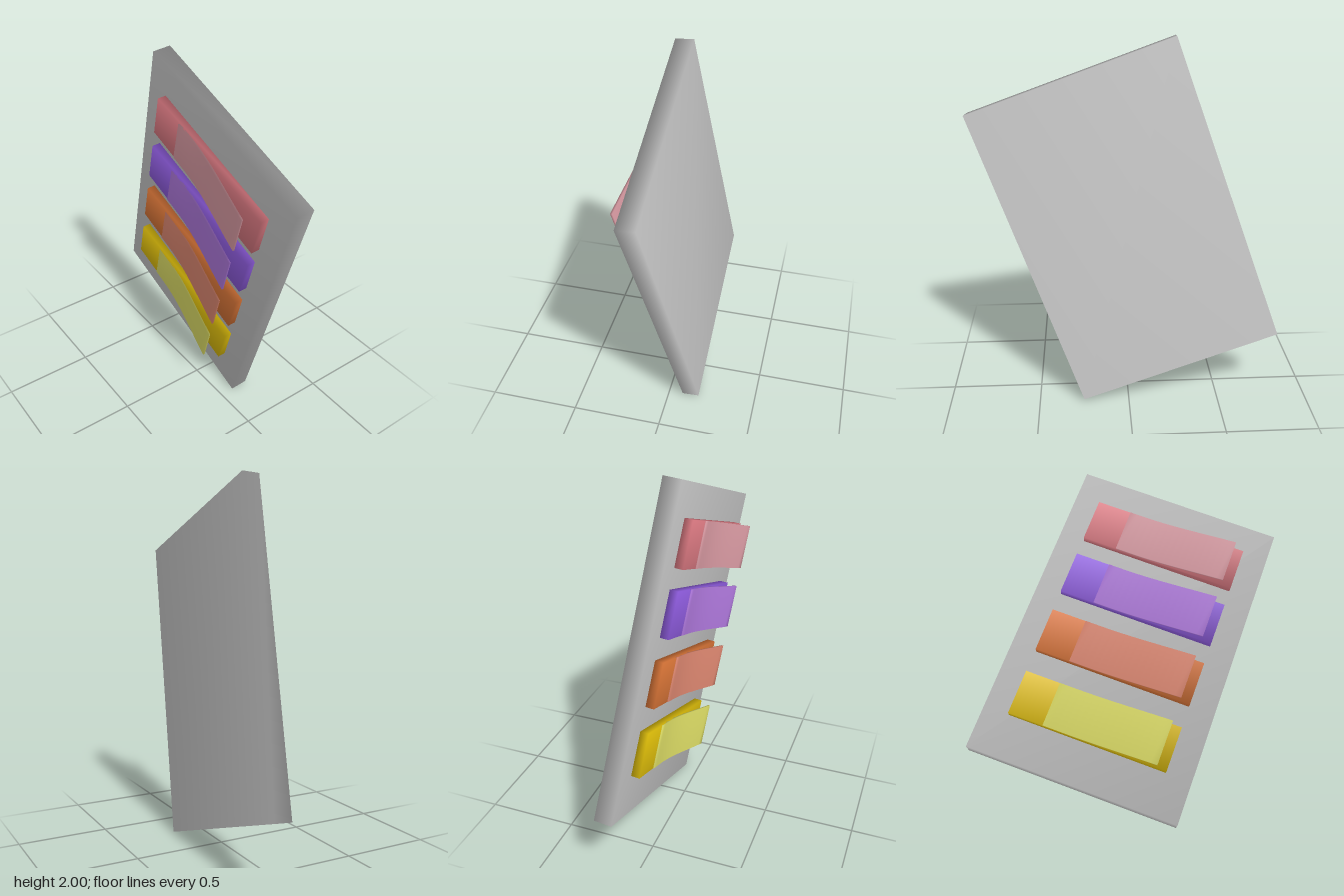
import * as THREE from 'three';
import { mergeVertices } from 'three/addons/utils/BufferGeometryUtils.js';

// Weld the corners so the normals blend smoothly around the edges
function soften(geometry) {
  geometry.deleteAttribute('normal');
  geometry.deleteAttribute('uv');
  const welded = mergeVertices(geometry);
  welded.computeVertexNormals();
  return welded;
}

function part(name, geometry, color) {
  const mesh = new THREE.Mesh(soften(geometry), new THREE.MeshStandardMaterial({ color }));
  mesh.name = name;
  return mesh;
}

const BAR = { length: 0.86, height: 0.24, depth: 0.045 };
const FLAP = { start: -0.24, end: 0.376, thickness: 0.01, lift: 0.066 };

// Thin strip lying on the bar that curls away from it towards the right end
function flapGeometry() {
  const length = FLAP.end - FLAP.start;
  const geometry = new THREE.BoxGeometry(length, BAR.height, FLAP.thickness, 16, 1, 1);
  geometry.translate((FLAP.start + FLAP.end) / 2, 0, BAR.depth - FLAP.thickness / 2 + 0.004);
  const p = geometry.attributes.position;
  for (let i = 0; i < p.count; i++) {
    const t = (p.getX(i) - FLAP.start) / length;
    const s = Math.max(0, (t - 0.15) / 0.85);
    p.setZ(i, p.getZ(i) + FLAP.lift * s * s * (1.9 - 0.9 * s));
  }
  return geometry;
}

export function createModel() {
  const model = new THREE.Group();
  model.name = 'tiltedBoard';

  // Everything is laid out flat, z = 0 being the front face of the board
  const board = part('board', new THREE.BoxGeometry(1.14, 1.71, 0.096), 0xcccccc);
  board.position.z = -0.048;
  const layout = new THREE.Group();
  layout.name = 'boardAssembly';
  layout.add(board);

  // Four coloured bars, each with a paler flap
  const rows = [
    { name: 'red', y: 0.564, bar: 0xe57f88, flap: 0xe8a5ae },
    { name: 'purple', y: 0.218, bar: 0x9560e8, flap: 0xba80ea },
    { name: 'orange', y: -0.138, bar: 0xe27a3a, flap: 0xeb9078 },
    { name: 'yellow', y: -0.507, bar: 0xe8c60a, flap: 0xeaea6c },
  ];
  for (const row of rows) {
    const bar = part(row.name + 'Bar', new THREE.BoxGeometry(BAR.length, BAR.height, BAR.depth), row.bar);
    bar.position.z = BAR.depth / 2;
    const flap = part(row.name + 'Flap', flapGeometry(), row.flap);
    const strip = new THREE.Group();
    strip.name = row.name + 'Strip';
    strip.position.y = row.y;
    strip.add(bar, flap);
    layout.add(strip);
  }

  // Lean the top forward, then roll the board clockwise
  layout.rotation.set(THREE.MathUtils.degToRad(5.4), 0, THREE.MathUtils.degToRad(-19.8), 'ZXY');
  layout.position.set(0, 0.995, 0);
  model.add(layout);
  return model;
}
